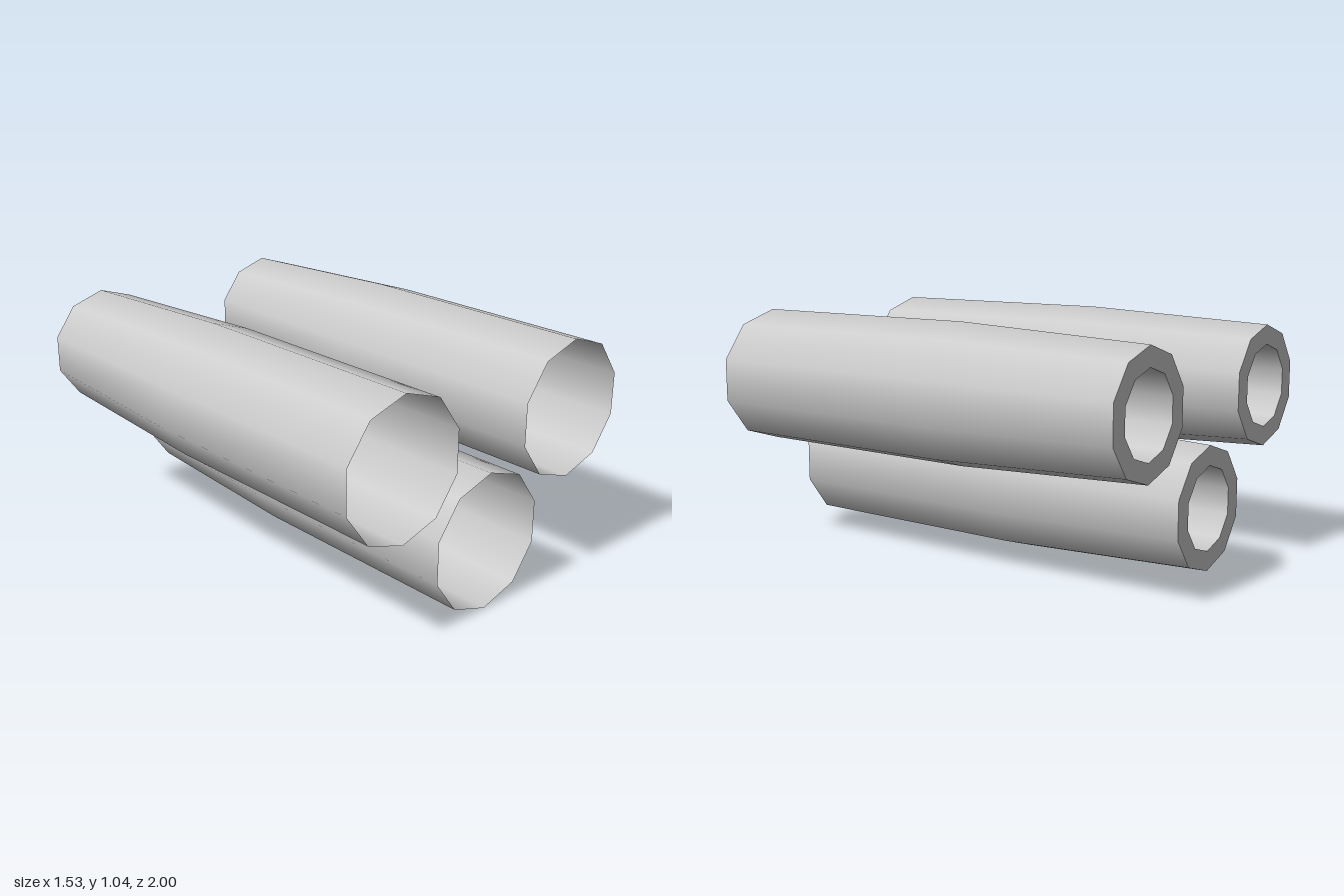
import * as THREE from 'three';

const SIDES = 10;

const lightGrey = new THREE.MeshStandardMaterial({ color: 0xcccccc, side: THREE.DoubleSide });
lightGrey.name = 'light grey';

// Ten-sided surface turned around the z axis from [radius, z] points, rising slightly to the back
function turned(name, profile) {
  const geometry = new THREE.LatheGeometry(profile.map(([r, z]) => new THREE.Vector2(r, z)), SIDES);
  geometry.rotateX(Math.PI / 2);
  const position = geometry.attributes.position;
  for (let i = 0; i < position.count; i++) {
    position.setY(i, position.getY(i) + 0.004 * (1 - position.getZ(i)));
  }
  const mesh = new THREE.Mesh(geometry, lightGrey);
  mesh.name = name;
  return mesh;
}

// One hollow tube: open at the front, tapered to a recessed nozzle at the back
function makeTube(name, x, y) {
  const tube = new THREE.Group();
  tube.name = name;
  tube.add(
    turned('shell', [[0.26, -1], [0.298, -0.12], [0.298, 1]]),
    turned('rearRim', [[0.177, -1], [0.26, -1]]),
    turned('recessWall', [[0.177, -0.71], [0.177, -1]]),
    turned('recessEnd', [[0, -0.71], [0.177, -0.71]])
  );
  tube.position.set(x, y, 0);
  return tube;
}

export function createModel() {
  const model = new THREE.Group();
  model.name = 'tubeCluster';
  model.add(
    makeTube('lowerTube', 0, 0.298),
    makeTube('leftTube', 0.481, 0.742),
    makeTube('rightTube', -0.481, 0.742)
  );
  return model;
}
